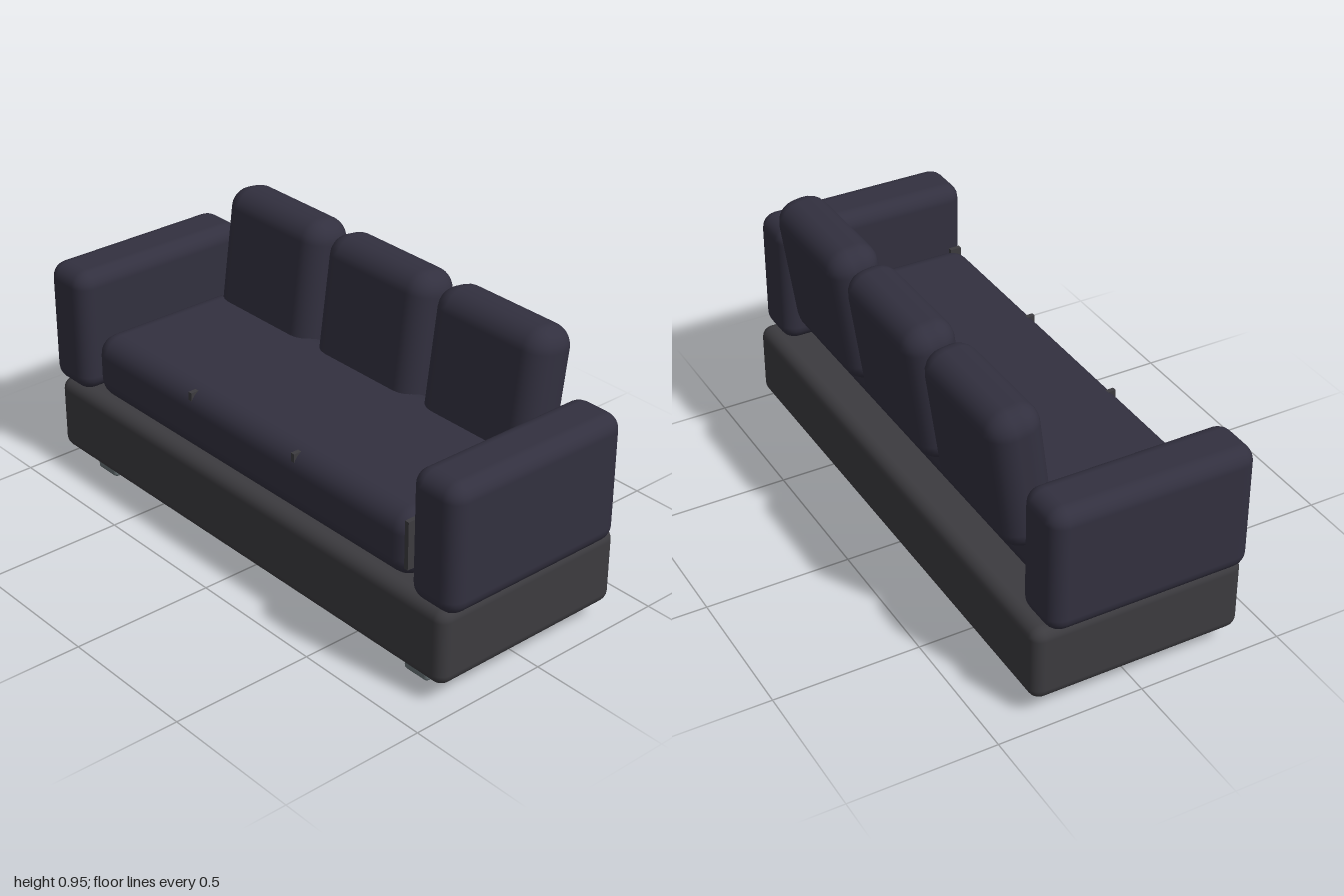
import * as THREE from 'three';
import { RoundedBoxGeometry } from 'three/addons/geometries/RoundedBoxGeometry.js';

const makeMaterial = (name, color) => {
  const m = new THREE.MeshStandardMaterial({ color });
  m.name = name;
  return m;
};

export function createModel() {
  const sofa = new THREE.Group();
  sofa.name = 'sofa';
  const fabric = makeMaterial('navyFabric', 0x32303f);
  const frame = makeMaterial('charcoalFrame', 0x3c3b3f);
  const metal = makeMaterial('greyFeet', 0x677275);

  // Rounded block given by its [min, max] on each axis
  function block(name, material, [x0, x1], [y0, y1], [z0, z1], radius, segments = 3) {
    const geometry = new RoundedBoxGeometry(x1 - x0, y1 - y0, z1 - z0, segments, radius);
    const mesh = new THREE.Mesh(geometry, material);
    mesh.name = name;
    mesh.position.set((x0 + x1) / 2, (y0 + y1) / 2, (z0 + z1) / 2);
    sofa.add(mesh);
    return mesh;
  }

  // Base and seat
  block('base', frame, [-0.967, 0.963], [0.066, 0.334], [-0.362, 0.376], 0.04);
  block('seatCushion', fabric, [-0.788, 0.784], [0.332, 0.56], [-0.25, 0.35], 0.07);

  // Armrests
  block('rightArm', fabric, [-1, -0.805], [0.324, 0.767], [-0.325, 0.376], 0.055);
  block('leftArm', fabric, [0.805, 1], [0.324, 0.767], [-0.325, 0.376], 0.055);

  // Back cushions, leaning backwards
  for (const x of [-0.515, -0.002, 0.511]) {
    const cushion = block('backCushion', fabric, [x - 0.242, x + 0.242], [0.45, 0.955], [-0.352, -0.172], 0.075);
    cushion.rotation.x = -0.139;
  }

  // Seams showing through the rounded front edge of the seat
  for (const x of [-0.262, 0.251, 0.768]) {
    const seam = new THREE.Mesh(new THREE.BoxGeometry(0.016, 0.166, 0.04), frame);
    seam.name = 'seatSeam';
    seam.position.set(x, 0.468, 0.322);
    sofa.add(seam);
  }

  // Feet
  for (const x of [-0.797, 0.788]) {
    for (const z of [0.262, -0.245]) {
      block('foot', metal, [x - 0.053, x + 0.053], [0, 0.09], [z - 0.053, z + 0.053], 0.014, 2);
    }
  }

  return sofa;
}
